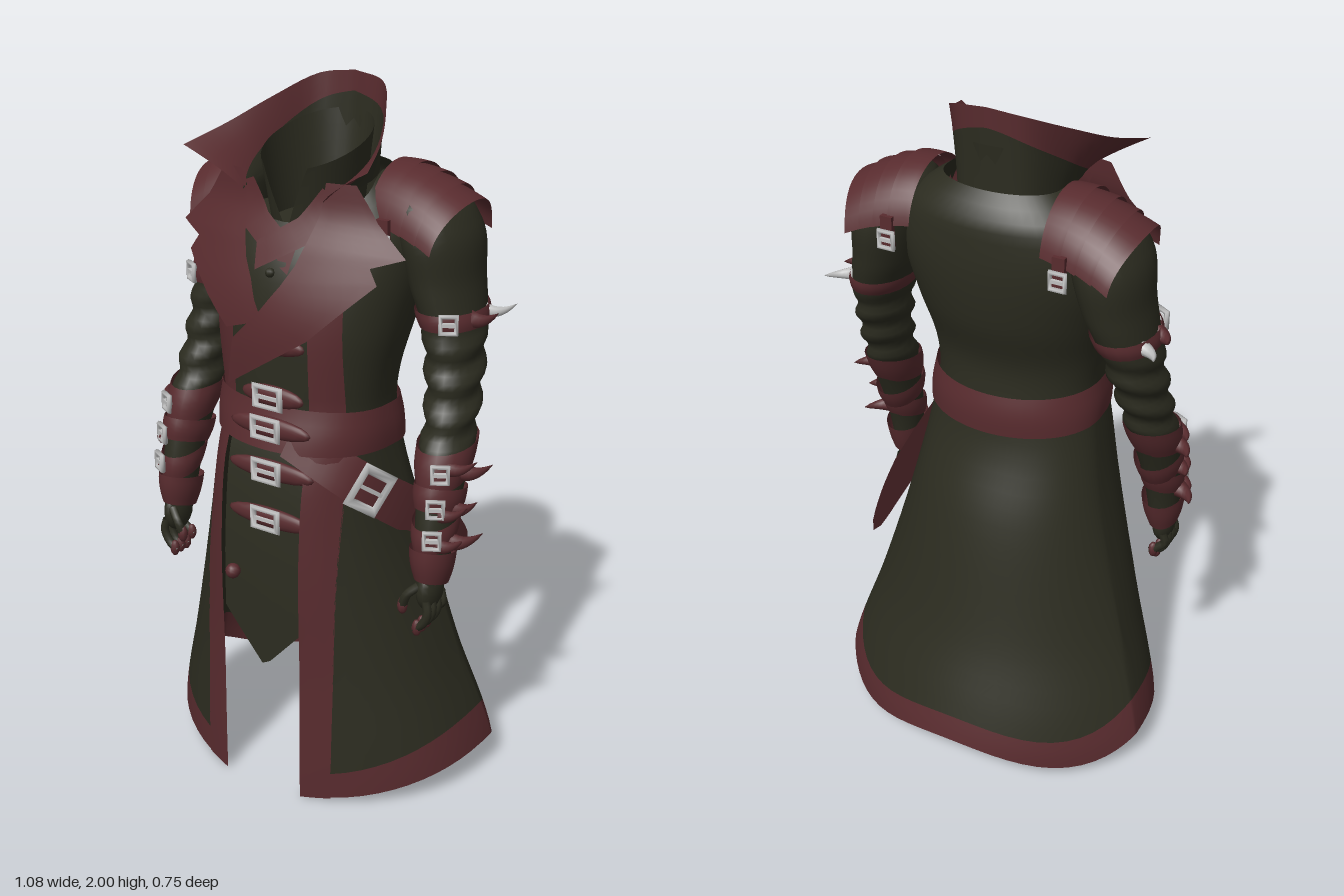
import * as THREE from 'three';
import { mergeVertices } from 'three/addons/utils/BufferGeometryUtils.js';

const material = (name, color) => Object.assign(
  new THREE.MeshStandardMaterial({ color, side: THREE.DoubleSide }), { name });

// Smooth lookup through rows of [y, ...values]
function profile(rows) {
  const n = rows[0].length - 1;
  const it = new THREE.CubicInterpolant(rows.map(r => r[0]), rows.flatMap(r => r.slice(1)), n, new Float32Array(n));
  return y => Array.from(it.evaluate(y));
}

// Grid surface from f(u, v) -> [x, y, z], seams welded
function sheet(f, nu, nv) {
  const pos = [], idx = [];
  for (let j = 0; j <= nv; j++) for (let i = 0; i <= nu; i++) pos.push(...f(i / nu, j / nv));
  for (let j = 0; j < nv; j++) for (let i = 0; i < nu; i++) {
    const a = j * (nu + 1) + i, b = a + 1, c = a + nu + 1, d = c + 1;
    idx.push(a, b, d, a, d, c);
  }
  let g = new THREE.BufferGeometry();
  g.setAttribute('position', new THREE.Float32BufferAttribute(pos, 3));
  g.setIndex(idx);
  g = mergeVertices(g, 1e-4);
  g.computeVertexNormals();
  return g;
}

// Coat cross-sections: y, half width, centre z, front depth, back depth
const coat = profile([
  [0, 0.51, -0.1, 0.48, 0.29], [0.1, 0.5, -0.09, 0.47, 0.29], [0.4, 0.41, -0.03, 0.41, 0.25],
  [0.8, 0.3, 0.03, 0.36, 0.21], [1.0, 0.26, 0.07, 0.3, 0.18], [1.15, 0.24, 0.1, 0.215, 0.19],
  [1.25, 0.25, 0.1, 0.215, 0.19], [1.4, 0.28, 0.07, 0.245, 0.21], [1.55, 0.3, 0.02, 0.27, 0.185],
  [1.65, 0.29, 0, 0.24, 0.165], [1.72, 0.25, -0.01, 0.2, 0.145], [1.8, 0.14, 0, 0.16, 0.09]]);
const lerp = THREE.MathUtils.lerp, smooth = THREE.MathUtils.smoothstep, TAU = Math.PI * 2;
function body(a, y, off = 0) {
  const [w, c, f, b] = coat(y), k = Math.cos(a);
  const q = k > 0 ? k ** 0.8 * (f + off) : -((-k) ** lerp(1.65, 0.9, smooth(y, 0.1, 1.3))) * (b + off);
  return [(w + off) * Math.sin(a), y, c + q];
}
const angleAt = (x, y) => Math.asin(Math.min(0.98, x / coat(y)[0]));
const frontZ = (x, y) => body(angleAt(Math.abs(x), y), y)[2];
const hem = a => Math.cos(a) > 0 ? 0.1 * Math.sin(a) ** 2 : 0.1 - 0.06 * Math.sin(2 * a) ** 2;
const chest = profile([[1.2, 0.333], [1.38, 0.345], [1.48, 0.33], [1.6, 0.288], [1.7, 0.245], [1.78, 0.235]]);

// Sleeve cross-sections: y, centre x, centre z, radius x, radius z
const arm = profile([
  [0.7, 0.436, 0.18, 0.038, 0.05], [0.8, 0.433, 0.17, 0.046, 0.06], [0.9, 0.43, 0.15, 0.052, 0.07],
  [1.05, 0.422, 0.1, 0.062, 0.084], [1.2, 0.408, 0.04, 0.068, 0.088], [1.4, 0.376, -0.01, 0.078, 0.115],
  [1.5, 0.348, -0.02, 0.09, 0.135], [1.66, 0.315, -0.02, 0.095, 0.145], [1.74, 0.275, -0.015, 0.06, 0.09],
  [1.765, 0.25, -0.01, 0.01, 0.02]]);
function armPoint(a, y, off = 0, tilt = 0) {
  const [x, z, rx, rz] = arm(y);
  return [x + (rx + off) * Math.sin(a), y + tilt * Math.cos(a), z + (rz + off) * Math.cos(a)];
}

export function createModel() {
  const model = new THREE.Group();
  model.name = 'longCoat';
  const cloth = material('darkOliveCloth', 0x2c2c20);
  const leather = material('maroonLeather', 0x582b2e);
  const metal = material('silverMetal', 0xc0c0c0);
  const add = (parent, name, geo, mat) => {
    const m = new THREE.Mesh(geo, mat);
    m.name = name;
    parent.add(m);
  };
  // Mirrors baked geometry across x
  const mirrored = (src, name) => {
    const g = new THREE.Group();
    g.name = name;
    for (const m of src.children) {
      const geo = m.geometry.clone().scale(-1, 1, 1), ix = geo.index.array;
      for (let i = 0; i < ix.length; i += 3) [ix[i], ix[i + 1]] = [ix[i + 1], ix[i]];
      add(g, m.name, geo, m.material);
    }
    model.add(g);
  };
  const buckle = (parent, w, h, x, y, z, ry = 0, rz = 0) => {
    const place = g => g.rotateZ(rz).rotateY(ry).translate(x, y, z);
    add(parent, 'buckleFrame', place(new THREE.TorusGeometry(0.65, 0.17, 6, 4).rotateZ(Math.PI / 4).scale(w, h, 0.05)), metal);
    add(parent, 'bucklePin', place(new THREE.BoxGeometry(w, 0.01, 0.012)), metal);
  };
  // Curved tapering claw
  const spike = (parent, p, len, r, mat = leather) => {
    const c = new THREE.QuadraticBezierCurve3(new THREE.Vector3(...p),
      new THREE.Vector3(p[0] + len * 0.75, p[1] - 0.012, p[2]),
      new THREE.Vector3(p[0] + len, p[1] + 0.008, p[2] - len * 1.1));
    add(parent, 'spike', sheet((u, v) => {
      const q = c.getPoint(v), k = r * (1 - v) ** 0.7;
      return [q.x + k * 0.4 * Math.cos(u * TAU), q.y + k * Math.sin(u * TAU), q.z + k * Math.cos(u * TAU)];
    }, 8, 7), mat);
  };

  // Torso, skirt with maroon hem, belt
  add(model, 'torso', sheet((u, v) => {
    const a = u * TAU;
    return body(a, lerp(1.08, 1.78 - 0.12 * Math.max(0, Math.cos(a)) ** 2, v));
  }, 48, 24), cloth);
  add(model, 'neckLining', new THREE.CircleGeometry(1, 24).rotateX(-Math.PI / 2).scale(0.24, 1, 0.2).translate(0, 1.64, 0.045), cloth);
  const band = a => 0.075 + 0.035 * Math.sin(a) ** 2;
  const skirtPoint = (u, lo, hi, v) => {
    const guess = lerp(0.43, TAU - 0.43, u);
    const y = lerp(lo(guess), hi(guess), v), a0 = angleAt(0.215, y);
    return body(lerp(a0, TAU - a0, u), y);
  };
  add(model, 'skirt', sheet((u, v) => skirtPoint(u, a => hem(a) + band(a), () => 1.12, v), 56, 20), cloth);
  add(model, 'skirtHem', sheet((u, v) => skirtPoint(u, hem, a => hem(a) + band(a), v), 56, 3), leather);
  add(model, 'belt', sheet((u, v) => {
    const a = u * TAU, y = lerp(1.055, 1.175, v) + 0.012 * Math.sin(a + 2);
    return body(a, y, 0.01 + 0.008 * Math.sin(v * Math.PI));
  }, 48, 6), leather);

  // Front edge trims and chest panels, both sides
  const side = new THREE.Group();
  side.name = 'leftSide';
  model.add(side);
  add(side, 'skirtTrim', sheet((u, v) => {
    const x = lerp(0.13, 0.217, u), y = lerp(0.005 + 0.01 * u, 1.12, v);
    return [x, y, frontZ(x, y) + 0.005 * (1 - u)];
  }, 4, 20), leather);
  add(side, 'chestTrim', sheet((u, v) => {
    const x = lerp(0.12, 0.2, u), y = lerp(1.12, 1.58, v);
    return [x, y, frontZ(x, y) + 0.007];
  }, 4, 10), leather);

  // Inner vest with a pointed lower edge
  add(model, 'vest', sheet((u, v) => {
    const x = lerp(-0.16, 0.16, u), y = lerp(0.37 + Math.abs(x + 0.02) * 1.1, 1.15, v);
    return [x, y, frontZ(0.17, y) - 0.022 - 0.3 * x * x];
  }, 12, 14), cloth);
  add(model, 'vestButton', new THREE.SphereGeometry(0.013, 8, 6).translate(0, 1.54, frontZ(0, 1.54) + 0.004), cloth);
  add(model, 'coatButton', new THREE.SphereGeometry(0.022, 10, 8).translate(-0.11, 0.66, frontZ(0.17, 0.66)), leather);

  // Draped chest pieces stretched between an outer and an inner edge
  const drape = (outer, inner, lift, s) => {
    const at = (pts, t) => {
      const k = t * (pts.length - 1), i = Math.min(pts.length - 2, Math.floor(k));
      return [0, 1].map(c => lerp(pts[i][c], pts[i + 1][c], k - i));
    };
    return sheet((u, v) => {
      const o = at(outer, v), n = at(inner, v), x = lerp(n[0], o[0], u), y = lerp(n[1], o[1], u);
      return [s * x, y, chest(y)[0] + lift - 0.65 * x * x];
    }, 6, (outer.length - 1) * 4);
  };
  const upperOut = [[0.21, 1.78], [0.27, 1.69], [0.355, 1.61], [0.275, 1.585], [0.3, 1.545]];
  const upperIn = [[0.13, 1.78], [0.12, 1.7], [0.1, 1.63], [0.08, 1.57], [0.05, 1.52]];
  add(model, 'leftLapel', drape([...upperOut, [0.14, 1.39], [-0.12, 1.22]], [...upperIn, [-0.01, 1.44], [-0.09, 1.36]], 0.006, 1), leather);
  add(model, 'rightLapel', drape([...upperOut, [0.2, 1.45], [0.12, 1.38]], [...upperIn, [0.03, 1.47], [0, 1.42]], -0.004, -1), leather);
  for (const s of [1, -1]) add(model, 'scarf', drape([[0.16, 1.74], [0.11, 1.63], [-0.05, 1.54]],
    [[0.11, 1.76], [0.05, 1.68], [-0.06, 1.61]], s > 0 ? -0.012 : -0.018, s), leather);

  // Flaring collar with a rim that widens to the front tips
  const curve = pts => new THREE.CatmullRomCurve3(pts.map(p => new THREE.Vector3(...p)));
  const rimCurve = curve([[0, 2, -0.1], [0.1, 1.985, -0.08], [0.18, 1.93, 0.03], [0.24, 1.875, 0.15], [0.285, 1.835, 0.28]]);
  const baseCurve = curve([[0, 1.77, -0.095], [0.1, 1.76, -0.065], [0.145, 1.75, 0.03], [0.15, 1.745, 0.13], [0.125, 1.73, 0.24]]);
  const collar = (u, v) => {
    const s = 2 * u - 1, t = Math.abs(s), p = baseCurve.getPoint(t), q = rimCurve.getPoint(t);
    const w = v ** 1.25;
    return [Math.sign(s) * lerp(p.x, q.x, w), lerp(p.y, q.y, v), lerp(p.z, q.z, w)];
  };
  const rimStart = u => 0.76 * (1 - Math.abs(2 * u - 1) ** 1.6);
  add(model, 'collar', sheet((u, v) => collar(u, v * rimStart(u)), 40, 6), cloth);
  add(model, 'collarRim', sheet((u, v) => collar(u, lerp(rimStart(u), 1, v)), 40, 5), leather);
  // Inner collar, open in a V at the front
  add(model, 'innerCollar', sheet((u, v) => {
    const gap = 0.04 + 0.5 * v, a = lerp(gap, TAU - gap, u), k = (1 - Math.cos(a)) / 2;
    return [(0.11 + 0.025 * v) * Math.sin(a), lerp(1.64, 1.8 + 0.1 * k, v), 0.075 + (0.145 + 0.03 * v) * Math.cos(a)];
  }, 32, 6), cloth);

  // Front straps and buckles
  for (const [y, z, x, w] of [[1.36, 0.33, 0.02, 0.11], [1.21, 0.322, 0.02, 0.1], [1.125, 0.335, 0.02, 0.13],
    [1.0, 0.335, 0.02, 0.14], [0.86, 0.342, 0.02, 0.14]]) {
    add(model, 'frontStrap', new THREE.SphereGeometry(1, 16, 10).scale(w, 0.03, 0.018).translate(x, y, z), leather);
    if (y < 1.3) buckle(model, 0.085, 0.06, 0.015, y, z + 0.018);
  }

  // Hanging belt tail on the left hip
  const tail = curve([[0.08, 1.11, 0.335], [0.225, 1.0, 0.26], [0.285, 0.9, 0.14], [0.315, 0.8, 0], [0.332, 0.72, -0.1], [0.335, 0.645, -0.205]]);
  add(model, 'beltTail', sheet((u, v) => {
    const p = tail.getPoint(v), w = (2 * u - 1) * (0.055 + 0.02 * v) * Math.sqrt(Math.min(1, (1 - v) * 3));
    return [p.x + 0.1 * w, p.y + 0.8 * w, p.z - 0.6 * w];
  }, 4, 24), leather);
  buckle(model, 0.1, 0.11, 0.268, 0.96, 0.225, 1.05, -0.6);

  // Sleeve with creases
  add(side, 'sleeve', sheet((u, v) => {
    const y = lerp(0.72, 1.765, v), k = smooth(y, 1.02, 1.12) * (1 - smooth(y, 1.32, 1.42));
    return armPoint(u * TAU, y, k * 0.008 * Math.sin(y * 70 + Math.sin(u * TAU + 1) * 1.8));
  }, 22, 56), cloth);

  // Wrapped arm bands, bracer and glove cuff
  for (const [y0, y1, off, flare, tilt] of [[1.395, 1.44, 0.006, 0, 0], [1.0, 1.1, 0.005, 0.009, -0.015],
    [0.92, 0.985, 0.005, 0.004, 0.02], [0.835, 0.905, 0.005, 0.004, -0.02], [0.72, 0.815, 0.004, 0.01, 0.015]])
    add(side, 'armBand', sheet((u, v) => armPoint(u * TAU, lerp(y0, y1, v), off + flare * v + 0.004 * Math.sin(v * Math.PI), tilt), 22, 5), leather);
  for (const [a, y, len, r] of [[1.3, 1.42, 0.05, 0.024], [1.5, 1.03, 0.06, 0.026], [0.8, 1.05, 0.055, 0.022], [1.5, 0.935, 0.045, 0.024],
    [0.7, 0.93, 0.055, 0.022], [1.6, 0.845, 0.065, 0.026], [0.8, 0.845, 0.055, 0.022]])
    spike(side, armPoint(a, y, -0.005), len, r);
  spike(side, armPoint(2.1, 1.42, -0.005), 0.06, 0.02, metal);
  for (const [a, y] of [[0.55, 1.42], [0.5, 1.04], [0.5, 0.95], [0.5, 0.865]])
    buckle(side, 0.045, 0.05, ...armPoint(a, y, 0.014), a);

  // Glove: palm, four curled fingers and a thumb
  add(side, 'palm', new THREE.SphereGeometry(1, 14, 10).scale(0.032, 0.065, 0.055).translate(0.436, 0.7, 0.185), cloth);
  const finger = (pts, r) => {
    const c = curve(pts);
    add(side, 'finger', new THREE.TubeGeometry(c, 8, r, 7), cloth);
    const e = c.getPoint(0.92);
    add(side, 'fingertip', new THREE.SphereGeometry(1, 8, 6).scale(r * 1.15, r * 2, r * 1.15).translate(e.x, e.y, e.z), leather);
  };
  for (let i = 0; i < 4; i++) {
    const z = 0.145 + i * 0.027, d = i === 0 ? 0.02 : 0;
    finger([[0.447, 0.68, z], [0.455, 0.645, z + 0.003], [0.44, 0.608 + d, z + 0.002], [0.415, 0.585 + d, z]], 0.0125);
  }
  finger([[0.425, 0.72, 0.225], [0.395, 0.69, 0.24], [0.378, 0.645, 0.235]], 0.013);

  // Overlapping shoulder plates that slope down and outward
  for (let i = 0; i < 4; i++) add(side, 'shoulderPlate', sheet((u, v) => {
    const x = 0.19 + 0.054 * i + 0.07 * u, t = lerp(-1.42, 1.42, v), lift = 0.012 * u, d = x - 0.19;
    const drop = 1.2 * d * d + 0.12 * d, s = Math.sin(t);
    return [x - 0.04 * s * s * (i + u) / 4, 1.64 - drop * 0.6 + (0.163 + lift - drop * 0.4) * Math.cos(t), -0.022 + (0.155 + lift) * s];
  }, 5, 20), leather);
  for (const [z, ry] of [[0.15, 0], [-0.183, Math.PI]]) {
    add(side, 'shoulderStrap', new THREE.BoxGeometry(0.035, 0.09, 0.015).translate(0.25, 1.64, z), leather);
    buckle(side, 0.045, 0.05, 0.25, 1.62, z + Math.sign(z) * 0.01, ry);
  }

  mirrored(side, 'rightSide');
  return model;
}
